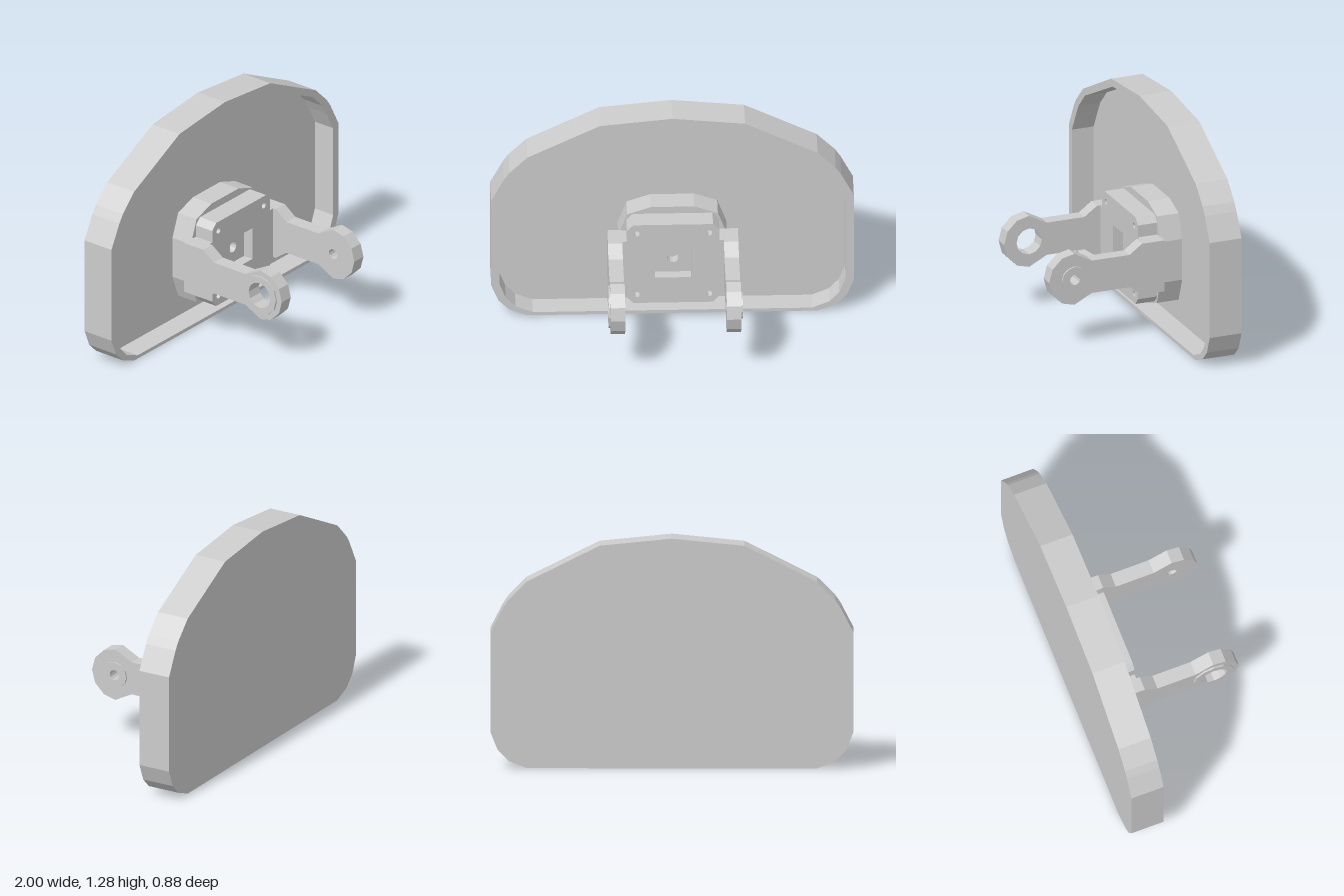
import * as THREE from 'three';

const material = new THREE.MeshStandardMaterial({ color: 0xcccccc, flatShading: true });

// Closed outline from points of the +x half (bottom to top), mirrored to -x
function mirrored(half) {
  const left = half.filter(([x]) => x > 0).map(([x, y]) => [-x, y]).reverse();
  return [...half, ...left].map(([x, y]) => new THREE.Vector2(x, y));
}

const circle = (x, y, r) => new THREE.Path().absarc(x, y, r, 0, Math.PI * 2, true);
const disc = (x, y, r) => new THREE.Shape().absarc(x, y, r, 0, Math.PI * 2, false);

// Extrude a front-facing shape between two depths
function slab(name, shape, z0, z1, holes = []) {
  shape.holes.push(...holes);
  const geo = new THREE.ExtrudeGeometry(shape, { depth: z1 - z0, bevelEnabled: false, curveSegments: 6 });
  geo.translate(0, 0, z0);
  const mesh = new THREE.Mesh(geo, material);
  mesh.name = name;
  return mesh;
}

// Extrude a side-facing shape (drawn in -z, y) between two x positions
function sideSlab(name, shape, x0, x1, holes = []) {
  const mesh = slab(name, shape, x0, x1, holes);
  mesh.geometry.rotateY(Math.PI / 2);
  return mesh;
}

export function createModel() {
  const model = new THREE.Group();
  model.name = 'wallBracket';

  // Shallow dish: solid back panel and raised rim
  const outer = mirrored([
    [0.8, 0], [0.9, 0.04], [0.96, 0.1], [1, 0.2], [1, 0.76], [0.93, 0.895],
    [0.9, 0.94], [0.8, 1.04], [0.4, 1.24], [0, 1.28],
  ]);
  const inner = mirrored([
    [0.77, 0.02], [0.865, 0.06], [0.92, 0.12], [0.955, 0.21], [0.955, 0.745], [0.895, 0.86],
    [0.86, 0.92], [0.77, 1.01], [0.38, 1.2], [0, 1.24],
  ]);
  model.add(slab('backPanel', new THREE.Shape(outer), -0.44, -0.38));
  model.add(slab('rim', new THREE.Shape(outer), -0.38, -0.25, [new THREE.Path(inner)]));

  // Rounded base in the dish
  const base = mirrored([
    [0.12, 0.1], [0.25, 0.145], [0.3, 0.28], [0.3, 0.52], [0.25, 0.655], [0.12, 0.7],
  ]);
  model.add(slab('mountBase', new THREE.Shape(base), -0.38, -0.25));

  // Mounting block: square pocket in front, round bore behind, four screw holes
  const block = mirrored([
    [0.22, 0.145], [0.255, 0.185], [0.255, 0.25], [0.28, 0.25],
    [0.28, 0.55], [0.255, 0.55], [0.255, 0.62], [0.22, 0.657],
  ]);
  const screws = () => [[-0.2, 0.2], [0.2, 0.2], [-0.2, 0.6], [0.2, 0.6]].map(([x, y]) => circle(x, y, 0.017));
  const pocket = new THREE.Path(mirrored([[0.1, 0.31], [0.1, 0.5]]));
  model.add(slab('blockFront', new THREE.Shape(block), -0.195, -0.135, [pocket, ...screws()]));
  model.add(slab('blockBack', new THREE.Shape(block), -0.25, -0.195, [circle(0, 0.403, 0.032), ...screws()]));

  // Arms with a round eye; the right eye is wider than the left
  const upper = [
    [0.25, 0.15], [0.115, 0.15], [0.04, 0.095], [-0.185, 0.095], [-0.29, 0.15],
    [-0.363, 0.132], [-0.42, 0.075], [-0.44, 0],
  ];
  const lower = upper.slice(0, -1).reverse().map(([u, v]) => [u, -v]);
  const profile = [...upper, ...lower].map(([u, v]) => new THREE.Vector2(u, 0.402 + v));
  const eyes = [
    { side: 'left', x: 0.28, bossX: 0.36, bore: 0.03, boss: 0.076 },
    { side: 'right', x: -0.36, bossX: -0.37, bore: 0.076, boss: 0.117 },
  ];
  for (const { side, x, bossX, bore, boss } of eyes) {
    const arm = new THREE.Group();
    arm.name = side + 'Arm';
    arm.add(sideSlab(side + 'ArmPlate', new THREE.Shape(profile), x, x + 0.08, [circle(-0.29, 0.402, bore)]));
    arm.add(sideSlab(side + 'ArmBoss', disc(-0.29, 0.402, boss), bossX, bossX + 0.01, [circle(-0.29, 0.402, bore)]));
    model.add(arm);
  }
  return model;
}
